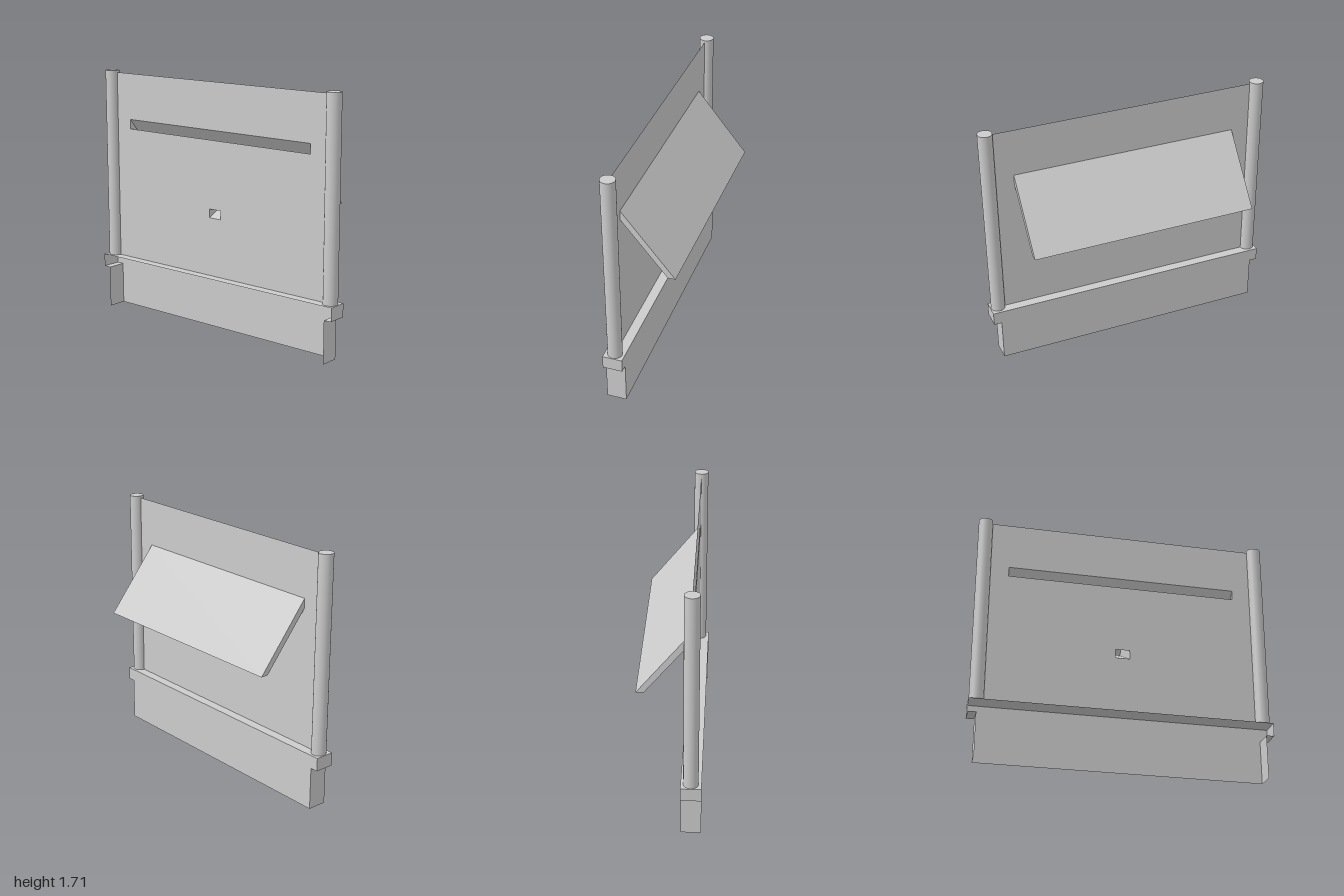
import * as THREE from 'three';
import { mergeGeometries } from 'three/addons/utils/BufferGeometryUtils.js';

const SHEET_X = -0.143; // plane of the upright panel
const POST_Z = 0.947;
const SLOT = { z: 0.777, low: 1.306, high: 1.372 };
const SOCKET = { z: 0.048, low: 0.78, high: 0.84 };

const material = new THREE.MeshStandardMaterial({ color: 0xcccccc, side: THREE.DoubleSide });

function part(name, geometry) {
  const mesh = new THREE.Mesh(geometry, material);
  mesh.name = name;
  return mesh;
}

// Sheet shell: an open outline (counter-clockwise) swept from z0 to z1, with optional end plates
function shell(outline, z0, z1, { frontCap = true, backCap = true } = {}) {
  const pieces = [];
  for (let i = 0; i < outline.length - 1; i++) {
    const [ax, ay] = outline[i];
    const [bx, by] = outline[i + 1];
    const wall = new THREE.BufferGeometry();
    wall.setAttribute('position', new THREE.Float32BufferAttribute(
      [ax, ay, z0, bx, by, z0, bx, by, z1, ax, ay, z1], 3));
    wall.setAttribute('uv', new THREE.Float32BufferAttribute([0, 0, 1, 0, 1, 1, 0, 1], 2));
    wall.setIndex([0, 1, 2, 0, 2, 3]);
    wall.computeVertexNormals();
    pieces.push(wall);
  }
  const shape = new THREE.Shape(outline.map(([x, y]) => new THREE.Vector2(x, y)));
  if (frontCap) pieces.push(new THREE.ShapeGeometry(shape).translate(0, 0, z1));
  if (backCap) pieces.push(new THREE.ShapeGeometry(shape).rotateY(Math.PI).scale(-1, 1, 1).translate(0, 0, z0));
  // the mirrored back plate needs its winding turned to face outward
  if (backCap) {
    const index = pieces[pieces.length - 1].index.array;
    for (let i = 0; i < index.length; i += 3) [index[i], index[i + 1]] = [index[i + 1], index[i]];
    pieces[pieces.length - 1].computeVertexNormals();
  }
  return mergeGeometries(pieces);
}

function rectPath(PathType, z, low, high) {
  return new PathType([
    new THREE.Vector2(-z, low), new THREE.Vector2(z, low),
    new THREE.Vector2(z, high), new THREE.Vector2(-z, high),
  ]);
}

export function createModel() {
  const model = new THREE.Group();
  model.name = 'panelWithFlap';

  // Base: T-shaped trough, open at the back and underneath
  const baseOutline = [
    [0.947, 0], [0.947, 0.29], [1, 0.29], [1, 0.38],
    [-1, 0.38], [-1, 0.29], [-0.947, 0.29], [-0.947, 0],
  ];
  const base = shell(baseOutline, -0.21, -0.078, { backCap: false });
  model.add(part('base', base.rotateY(Math.PI / 2)));

  // Round posts at both ends
  for (const [name, z] of [['frontPost', POST_Z], ['backPost', -POST_Z]]) {
    const post = part(name, new THREE.CylinderGeometry(0.048, 0.048, 1.325, 32));
    post.position.set(SHEET_X, 0.38 + 1.325 / 2, z);
    model.add(post);
  }

  // Thin upright panel with openings into the flap and the strut
  const sheet = rectPath(THREE.Shape, POST_Z, 0.38, 1.692);
  sheet.holes.push(
    rectPath(THREE.Path, SLOT.z, SLOT.low, SLOT.high),
    rectPath(THREE.Path, SOCKET.z, SOCKET.low, SOCKET.high),
  );
  const panel = part('panel', new THREE.ShapeGeometry(sheet).rotateY(Math.PI / 2));
  panel.position.x = SHEET_X;
  model.add(panel);

  // Hollow sloping flap, open where it meets the panel
  model.add(part('flap', shell(
    [[SHEET_X, SLOT.low], [0.157, 0.937], [0.207, 0.937], [SHEET_X, SLOT.high]],
    -SLOT.z, SLOT.z)));

  // Hollow strut under the flap: bottom, top and both sides
  const strutProfile = [[SHEET_X, SOCKET.low], [0.157, 0.937], [0.125, 0.98], [SHEET_X, SOCKET.high]];
  model.add(part('strut', shell(strutProfile, -SOCKET.z, SOCKET.z)));

  return model;
}
